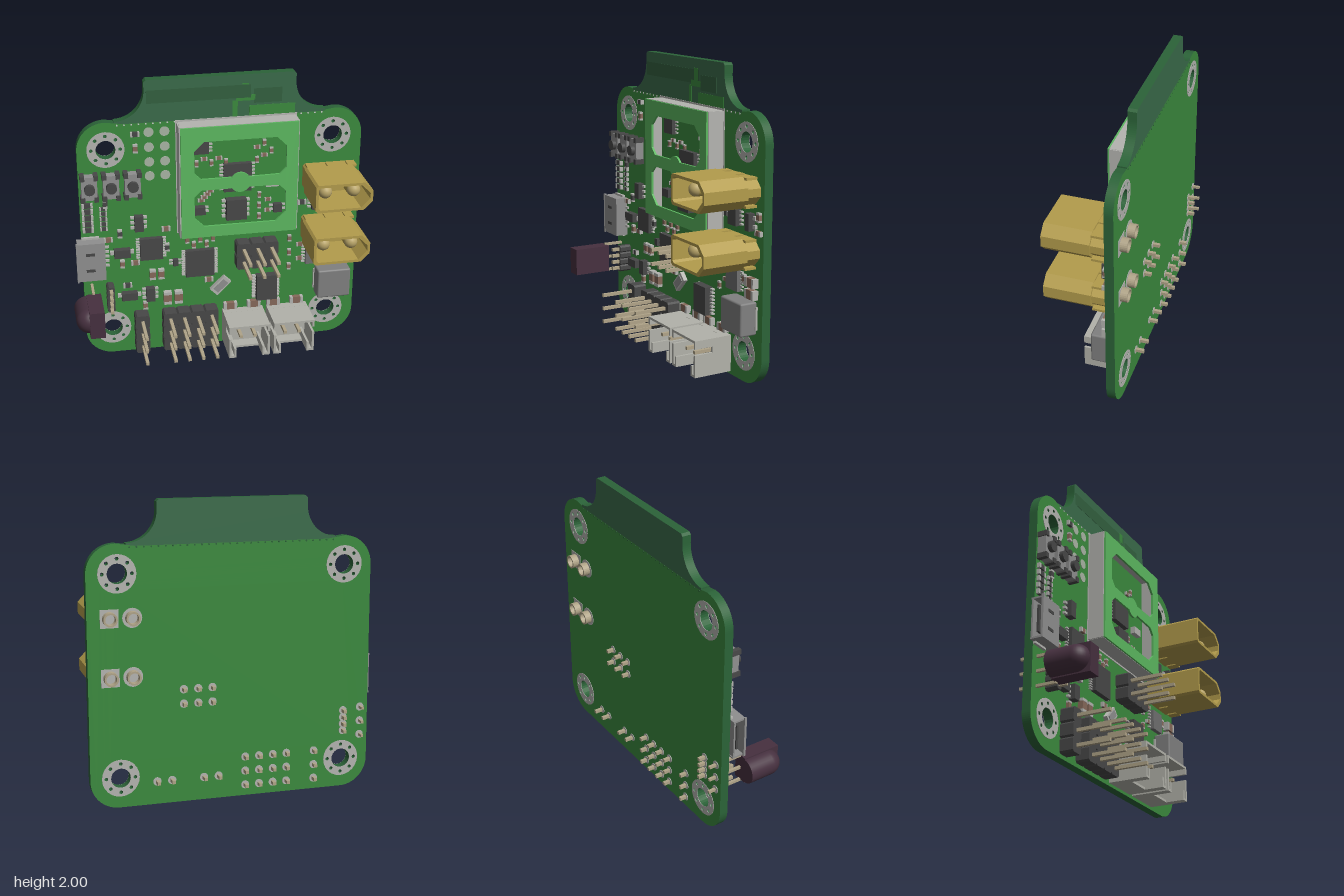
import * as THREE from 'three';
import { RoundedBoxGeometry } from 'three/addons/geometries/RoundedBoxGeometry.js';

const FRONT = -0.14, BACK = -0.2;
const mats = {};
const mat = (color) => (mats[color] ??= new THREE.MeshStandardMaterial({ color, side: THREE.DoubleSide }));
const GREEN = 0x3b8a3e, EDGE = 0x2b6338, DARKGREEN = 0x3a6b4a, LIME = 0x5cb860, GREY = 0xb4b4b0, SILVER = 0x8f8f8f,
  BLACK = 0x484848, GOLD = 0xb39c4c, PIN = 0xb0a488, PURPLE = 0x46303f, BROWN = 0x86695a, IVORY = 0xb2b2aa;

function add(parent, name, geo, color) {
  const m = new THREE.Mesh(geo, Array.isArray(color) ? color.map(mat) : mat(color));
  m.name = name;
  parent.add(m);
  return m;
}
// box centred at x, y and spanning z0..z1
function box(parent, name, x, y, w, h, z0, z1, color) {
  const m = add(parent, name, new THREE.BoxGeometry(w, h, z1 - z0), color);
  m.position.set(x, y, (z0 + z1) / 2);
  return m;
}
// cylinder along z
function rod(parent, name, x, y, r, z0, z1, color, sides = 20, r2 = r) {
  const m = add(parent, name, new THREE.CylinderGeometry(r2, r, z1 - z0, sides).rotateX(Math.PI / 2), color);
  m.position.set(x, y, (z0 + z1) / 2);
  return m;
}
function extrude(parent, name, shape, z0, z1, color, curveSegments = 12) {
  const m = add(parent, name, new THREE.ExtrudeGeometry(shape, { depth: z1 - z0, bevelEnabled: false, curveSegments }), color);
  m.position.z = z0;
  return m;
}
const poly = (pts) => new THREE.Shape(pts.map(([x, y]) => new THREE.Vector2(x, y)));
const circle = (x, y, r) => new THREE.Path().absarc(x, y, r, 0, Math.PI * 2, true);
// rectangle with its own chamfer at left and right corners
const chamfered = (x0, x1, y0, y1, cl, cr) => poly([[x0 + cl, y0], [x1 - cr, y0], [x1, y0 + cr], [x1, y1 - cr],
  [x1 - cr, y1], [x0 + cl, y1], [x0, y1 - cl], [x0, y0 + cl]]);
const group = (parent, name) => {
  const g = new THREE.Group();
  g.name = name;
  parent.add(g);
  return g;
};

function buildBoard(root) {
  const g = group(root, 'circuitBoard');
  const holes = [[-0.73, 1.54], [0.8, 1.54], [-0.73, 0.2], [0.8, 0.2]];
  const viaHoles = ([x, y]) => Array.from({ length: 8 }, (_, i) =>
    circle(x + 0.096 * Math.cos(i * Math.PI / 4), y + 0.096 * Math.sin(i * Math.PI / 4), 0.012));
  const s = new THREE.Shape(), r = 0.19, x0 = -0.92, x1 = 1, top = 1.73;
  s.absarc(x0 + r, r, r, Math.PI, 1.5 * Math.PI);
  s.absarc(x1 - r, r, r, -Math.PI / 2, 0);
  s.absarc(x1 - r, top - r, r, 0, Math.PI / 2);
  s.lineTo(0.68, 1.712).lineTo(-0.61, 1.712);
  s.absarc(x0 + r, top - r, r, Math.PI / 2, Math.PI);
  for (const h of holes) s.holes.push(circle(...h, 0.065), ...viaHoles(h));
  extrude(g, 'mainBoard', s, BACK, FRONT, [GREEN, EDGE]);
  // antenna tab with concave shoulders
  const t = new THREE.Shape();
  t.moveTo(-0.67, 1.712).lineTo(0.74, 1.712).lineTo(0.74, 1.73);
  t.absarc(0.74, 1.93, 0.2, -Math.PI / 2, -Math.PI, true);
  t.lineTo(0.54, 1.985).lineTo(0.525, 2).lineTo(-0.455, 2).lineTo(-0.47, 1.985);
  t.absarc(-0.67, 1.93, 0.2, 0, -Math.PI / 2, true);
  extrude(g, 'antennaTab', t, BACK, FRONT, [DARKGREEN, EDGE]);
  [[-0.11, 1.885, 0.69, 0.09, 0x33603f], [0.35, 1.85, 0.19, 0.1, 0x33603f], [0.2, 1.89, 0.045, 0.1, GREEN],
    [0.2, 1.84, 0.13, 0.04, GREEN], [0.13, 1.77, 0.035, 0.11, GREEN], [0.38, 1.75, 0.31, 0.07, GREEN]]
    .forEach(([x, y, w, h, c]) => box(g, 'antennaTrace', x, y, w, h, FRONT, FRONT + 0.002, c));
  // plated mounting rings on both faces
  for (const h of holes) {
    const ring = new THREE.Shape().absarc(...h, 0.125, 0, Math.PI * 2);
    ring.holes.push(circle(...h, 0.065), ...viaHoles(h));
    for (const z of [FRONT, BACK - 0.003]) extrude(g, 'mountingRing', ring, z, z + 0.003, GREY);
  }
  for (let i = 0; i < 30; i++) {
    rod(g, 'via', -0.65 + i * 0.0472, 1.705, 0.006, FRONT, FRONT + 0.003, 0xe0e0e0, 8);
    rod(g, 'via', -0.65 + i * 0.0472, 1.705, 0.006, BACK - 0.003, BACK, EDGE, 8);
  }
  for (const x of [-0.445, -0.34]) for (const y of [1.645, 1.54, 1.435, 1.335])
    rod(g, 'testPoint', x, y, 0.033, FRONT, FRONT + 0.003, 0xa9b5a4);
}

function buildShield(root) {
  const g = group(root, 'shieldCan'), cx = 0.14, cy = 1.305;
  for (const s of [-1, 1]) {
    box(g, 'shieldWall', cx + s * 0.395, cy, 0.015, 0.79, FRONT, -0.025, GREY);
    box(g, 'shieldWall', cx, cy + s * 0.39, 0.79, 0.015, FRONT, -0.025, GREY);
    box(g, 'shieldPad', cx + s * 0.402, cy, 0.014, 0.82, FRONT, FRONT + 0.004, GREY);
    box(g, 'shieldPad', cx, cy + s * 0.402, 0.82, 0.014, FRONT, FRONT + 0.004, GREY);
  }
  const lid = poly([[-0.255, 0.91], [0.535, 0.91], [0.535, 1.7], [-0.255, 1.7]]);
  // two windows split by a bar with a round centre
  for (const s of [1, -1]) {
    const y = (d) => 1.295 + s * d, p = new THREE.Path();
    p.moveTo(-0.12, y(0.04)).lineTo(0.085, y(0.04));
    p.absarc(0.145, 1.295, 0.07, s * 2.6, s * 0.54, s > 0);
    p.lineTo(0.41, y(0.04)).lineTo(0.455, y(0.085)).lineTo(0.455, y(0.24)).lineTo(0.39, y(0.305));
    p.lineTo(-0.1, y(0.305)).lineTo(-0.165, y(0.24)).lineTo(-0.165, y(0.085));
    lid.holes.push(p);
  }
  extrude(g, 'shieldLid', lid, -0.027, -0.012, LIME);
}

function buildPowerConnector(root, cy) {
  const g = group(root, 'powerConnector');
  const outline = (d) => chamfered(0.588 + d, 0.975 - d, cy - 0.098 + d, cy + 0.098 - d, 0.015, 0.06);
  const shell = outline(0);
  shell.holes.push(outline(0.018));
  extrude(g, 'connectorShell', shell, -0.04, 0.27, GOLD);
  extrude(g, 'connectorBase', outline(0.012), FRONT, -0.02, GOLD);
  for (const x of [0.64, 0.78, 0.92]) for (const s of [-1, 1])
    box(g, 'baseRib', x, cy + s * 0.087, 0.06, 0.016, -0.12, -0.04, GOLD);
  for (const [x, bx, square] of [[0.682, 0.707, false], [0.875, 0.855, true]]) {
    rod(g, 'contact', x, cy, 0.046, -0.02, 0.15, GOLD);
    add(g, 'contactTip', new THREE.SphereGeometry(0.046, 20, 12), 0xb8a468).position.set(x, cy, 0.15);
    if (square) box(g, 'solderPad', bx, cy, 0.12, 0.12, BACK - 0.003, BACK, GREY);
    else rod(g, 'solderPad', bx, cy, 0.065, BACK - 0.003, BACK, GREY);
    const tube = new THREE.Shape().absarc(bx, cy, 0.046, 0, Math.PI * 2);
    tube.holes.push(circle(bx, cy, 0.034));
    extrude(g, 'solderTail', tube, -0.25, FRONT, PIN);
  }
}

function pin(g, x, y, z1, z0 = -0.25, w = 0.022) {
  box(g, 'pin', x, y, w, w, z0, z1, PIN);
  rod(g, 'pinPad', x, y, 0.028, BACK - 0.004, BACK, GREY, 14);
}
function buildHeader(root, xs, ys, top = -0.045, tip = 0.185, pad = 0.047) {
  const g = group(root, 'pinHeader');
  for (const x of xs) for (const y of ys) {
    extrude(g, 'headerBody', chamfered(x - pad - 0.002, x + pad + 0.002, y - pad - 0.002, y + pad + 0.002, 0.012, 0.012), FRONT, top, BLACK);
    pin(g, x, y, tip);
  }
}

function buildSocket(root, cx) {
  const g = group(root, 'wireSocket');
  box(g, 'socketFloor', cx, 0.143, 0.29, 0.245, FRONT, -0.08, IVORY);
  box(g, 'backWall', cx, 0.257, 0.29, 0.016, -0.08, 0.13, IVORY);
  for (const s of [-1, 1]) {
    box(g, 'sideWall', cx + s * 0.137, 0.095, 0.016, 0.15, -0.08, 0.13, IVORY);
    box(g, 'sideWall', cx + s * 0.137, 0.19, 0.016, 0.04, -0.08, 0, IVORY);
    box(g, 'sideWall', cx + s * 0.137, 0.235, 0.016, 0.05, -0.08, 0.13, IVORY);
    box(g, 'frontWall', cx + s * 0.12, 0.028, 0.05, 0.016, -0.08, 0.13, IVORY);
    box(g, 'wallStep', cx + s * 0.1, 0.055, 0.016, 0.07, -0.08, 0.13, IVORY);
    pin(g, cx + s * 0.05, 0.155, 0.08, -0.26);
  }
  box(g, 'frontWall', cx, 0.028, 0.2, 0.016, -0.08, 0, IVORY);
}

function buildChip(root, [x, y, w, h, t, leads = 0, color = BLACK]) {
  const g = group(root, 'chip');
  box(g, 'chipBody', x, y, w, h, FRONT + 0.004, FRONT + t, color);
  for (let i = 0; i < leads; i++) for (const s of [-1, 1])
    box(g, 'chipLead', x + s * (w / 2 + 0.012), y + ((i + 0.5) / leads - 0.5) * h, 0.028, h / leads * 0.45, FRONT, FRONT + t * 0.4, GREY);
}
// ceramic part with metal ends
function buildPassive(root, x, y, len, wid, vertical, color = BROWN) {
  const g = group(root, 'passive'), t = FRONT + wid * 0.7;
  const b = (d, l, z, c) => box(g, 'passivePart', x + (vertical ? 0 : d), y + (vertical ? d : 0), vertical ? wid : l, vertical ? l : wid, FRONT, z, c);
  b(0, len * 0.6, t - 0.002, color);
  for (const s of [-1, 1]) b(s * len * 0.39, len * 0.22, t, GREY);
}

export function createModel() {
  const root = new THREE.Group();
  root.name = 'controllerBoard';
  buildBoard(root);
  buildShield(root);
  for (const y of [1.255, 0.87]) buildPowerConnector(root, y);
  buildHeader(root, [-0.533], [0.075, 0.172, 0.27]);
  buildHeader(root, [-0.337, -0.24, -0.143, -0.046], [0.075, 0.172, 0.27]);
  buildHeader(root, [0.18, 0.277, 0.374], [0.668, 0.765]);
  buildHeader(root, [-0.742], [0.395, 0.442, 0.489, 0.536], -0.055, 0, 0.024);
  for (const x of [0.19, 0.508]) buildSocket(root, x);

  // push buttons
  for (const x of [-0.852, -0.708, -0.565]) {
    const g = group(root, 'pushButton');
    box(g, 'buttonBody', x, 1.295, 0.105, 0.165, FRONT, -0.08, SILVER);
    for (const s of [-1, 1]) for (const t of [-1, 1]) box(g, 'buttonLeg', x + s * 0.045, 1.295 + t * 0.077, 0.03, 0.035, FRONT, -0.07, BLACK);
    rod(g, 'buttonCap', x, 1.295, 0.036, -0.08, -0.055, BLACK).scale.z = 1.25;
    root.getObjectByName('buttonCap');
  }

  // data port: open metal shell
  const port = group(root, 'dataPort');
  for (const z of [FRONT + 0.004, -0.062]) box(port, 'portShell', -0.862, 0.768, 0.185, 0.275, z, z + 0.012, SILVER);
  for (const s of [-1, 1]) {
    box(port, 'portSide', -0.862, 0.768 + s * 0.133, 0.185, 0.012, FRONT, -0.05, SILVER);
    box(port, 'portTab', -0.86, 0.768 + s * 0.143, 0.12, 0.02, FRONT, -0.12, GREY);
    box(port, 'portSpring', -0.87, 0.768 + s * 0.06, 0.06, 0.02, -0.05, -0.047, BLACK);
  }
  box(port, 'portRear', -0.775, 0.768, 0.012, 0.26, FRONT, -0.05, SILVER);
  box(port, 'portTongue', -0.87, 0.768, 0.14, 0.18, -0.105, -0.09, BLACK);
  box(port, 'portLip', -0.958, 0.768, 0.012, 0.29, -0.062, -0.046, SILVER);
  for (let i = -2; i <= 2; i++) box(port, 'portLead', -0.755, 0.768 + i * 0.035, 0.035, 0.015, FRONT, -0.125, GREY);

  // infrared receiver with domed side
  const ir = group(root, 'infraredReceiver');
  box(ir, 'receiverBody', -0.865, 0.455, 0.1, 0.19, -0.01, 0.255, PURPLE);
  rod(ir, 'receiverLens', -0.913, 0.455, 0.087, -0.01, 0.165, PURPLE, 32);
  add(ir, 'lensDome', new THREE.SphereGeometry(0.087, 32, 16), PURPLE).position.set(-0.913, 0.455, 0.165);
  for (const y of [0.358, 0.455, 0.552]) pin(ir, -0.865, y, 0, -0.255, 0.018);

  // power inductor
  const coil = add(root, 'inductor', new RoundedBoxGeometry(0.235, 0.215, 0.12, 2, 0.012), 0x808080);
  coil.position.set(0.825, 0.455, -0.08);
  for (const s of [-1, 1]) box(root, 'inductorPad', 0.825 + s * 0.115, 0.455, 0.02, 0.15, FRONT, -0.125, GREY);

  // chips: x, y, width, height, thickness, leads per side
  [[-0.115, 0.665, 0.2, 0.2, 0.04, 12], [-0.45, 0.805, 0.155, 0.16, 0.04, 8], [0.355, 0.435, 0.145, 0.19, 0.06, 8],
    [0.135, 1.06, 0.14, 0.15, 0.06, 4], [0.145, 1.29, 0.19, 0.2, 0.04, 8], [-0.105, 1.535, 0.11, 0.12, 0.035, 5],
    [-0.12, 1.065, 0.085, 0.055, 0.05, 2], [0.425, 1.04, 0.06, 0.06, 0.04, 2], [0.385, 1.23, 0.09, 0.05, 0.04, 0, GREY],
    [-0.53, 1.005, 0.06, 0.11, 0.05, 3], [-0.65, 0.79, 0.11, 0.06, 0.05, 1], [-0.61, 0.455, 0.11, 0.055, 0.05, 1],
    [-0.465, 0.455, 0.06, 0.1, 0.05, 3], [0.71, 1.06, 0.09, 0.105, 0.045, 4], [0.885, 1.06, 0.045, 0.11, 0.05, 2],
    [0.7, 0.655, 0.13, 0.14, 0.035, 6, 0x707070], [-0.285, 0.68, 0.035, 0.05, 0.03, 2]].forEach((c) => buildChip(root, c));
  const crystal = box(root, 'crystal', 0.03, 0.47, 0.14, 0.07, FRONT, -0.11, GREY);
  crystal.rotation.z = Math.PI / 4;
  box(crystal, 'crystalLid', 0, 0, 0.1, 0.045, 0.015, 0.02, SILVER);

  // larger capacitors
  for (const x of [0.1, 0.27, 0.41, 0.58]) buildPassive(root, x, 0.3, 0.095, 0.05, false);
  for (const y of [0.605, 0.68]) buildPassive(root, 0.905, y, 0.095, 0.06, false);
  for (const x of [-0.345, -0.268]) buildPassive(root, x, 0.41, 0.095, 0.055, true);
  for (const x of [-0.445, -0.385]) buildPassive(root, x, 0.6, 0.075, 0.042, true);
  // small resistors and capacitors
  for (let i = 0; i < 5; i++) {
    buildPassive(root, -0.87, 0.975 + i * 0.045, 0.075, 0.032, false, BLACK);
    buildPassive(root, -0.765, 0.975 + i * 0.037, 0.05, 0.025, false, BLACK);
    buildPassive(root, 0.52 + i % 2 * 0.075, 0.57 + i * 0.055, 0.05, 0.026, i % 2 === 0);
    buildPassive(root, -0.2 + i * 0.045, 0.84 - i % 2 * 0.04, 0.05, 0.026, true);
    buildPassive(root, 0.28 + i % 3 * 0.05, 1.4 + i * 0.03, 0.045, 0.024, i % 2 === 0);
    buildPassive(root, -0.13 + i * 0.05, 1.4 + i % 2 * 0.03, 0.045, 0.024, i % 2 === 0);
    buildPassive(root, -0.1 + i * 0.02, 1.13 + i * 0.022, 0.05, 0.024, false);
    buildPassive(root, 0.3 + i % 2 * 0.06, 0.98 + i * 0.04, 0.045, 0.024, i % 2 === 0);
  }
  [[-0.537, 1.64], [-0.537, 1.54], [-0.74, 0.89], [-0.66, 0.93], [-0.56, 0.7], [-0.65, 0.7], [-0.62, 0.53], [-0.5, 0.36],
    [-0.345, 0.94], [-0.34, 0.8], [0.96, 1.0], [0.96, 1.1], [0.6, 1.06], [0.81, 0.68], [-0.05, 0.52], [-0.75, 1.16]]
    .forEach(([x, y], i) => buildPassive(root, x, y, 0.06, 0.032, i % 2 === 1, i % 3 ? BROWN : BLACK));
  return root;
}
